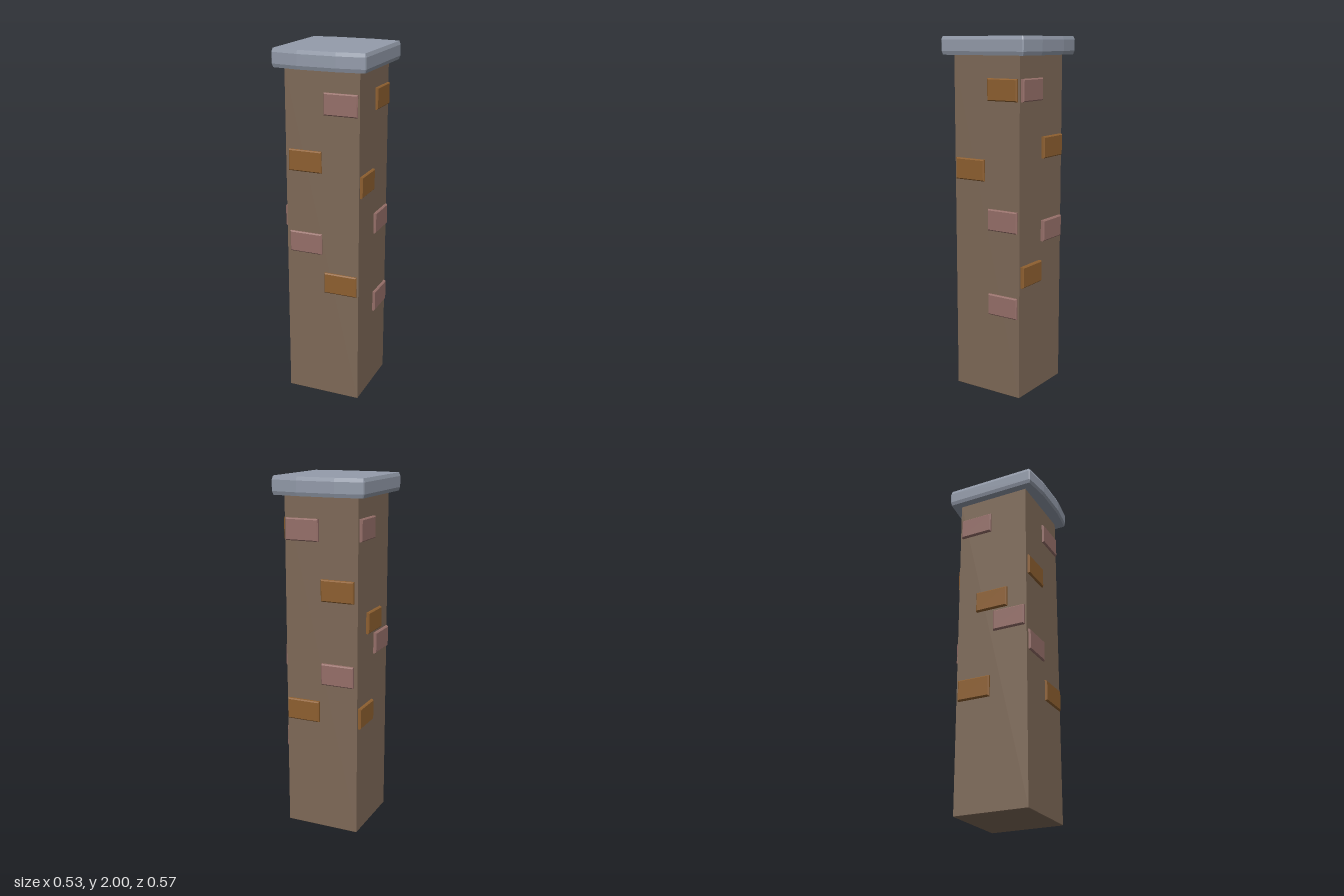
import * as THREE from 'three';

const material = (color) => new THREE.MeshStandardMaterial({ color, flatShading: true });

// Extrude an outline from z = 0 to z = depth with a chamfer kept inside the outline
function chamferedSlab(points, depth, inset, rise) {
  const shape = new THREE.Shape(points.map(([x, y]) => new THREE.Vector2(x, y)));
  const geometry = new THREE.ExtrudeGeometry(shape, {
    depth: depth - 2 * rise, bevelEnabled: true, bevelSegments: 1,
    bevelSize: inset, bevelOffset: -inset, bevelThickness: rise,
  });
  return geometry.translate(0, 0, rise);
}

const rectangle = (w, h) => [[-w / 2, -h / 2], [w / 2, -h / 2], [w / 2, h / 2], [-w / 2, h / 2]];

export function createModel() {
  const model = new THREE.Group();
  model.name = 'brickPillar';

  const stone = material(0x7f6a58);
  const slate = material(0x949cab);
  const orange = material(0x8f6030);
  const pink = material(0x97706a);

  // Square shaft
  const shaftGeometry = chamferedSlab(rectangle(0.428, 0.428), 1.91, 0.003, 0.003);
  const shaft = new THREE.Mesh(shaftGeometry.rotateX(-Math.PI / 2), stone);
  shaft.name = 'shaft';
  model.add(shaft);

  // Cap slab: front and back bow outwards, corners slightly clipped
  const quarter = [[0.265, 0.259], [0.259, 0.267], [0.108, 0.286]];
  const mirrored = quarter.map(([x, z]) => [-x, z]).reverse();
  const half = [...quarter, ...mirrored];
  const outline = [...half, ...half.map(([x, z]) => [-x, -z])];
  const capGeometry = chamferedSlab(outline, 0.1, 0.007, 0.02);
  const cap = new THREE.Mesh(capGeometry.rotateX(-Math.PI / 2), slate);
  cap.name = 'cap';
  cap.position.y = 1.9;
  model.add(cap);

  // Raised bricks on each face: [offset across the face, height, material]
  const faces = [
    { name: 'frontBricks', turn: 0, reach: 0.226,
      bricks: [[0.108, 1.72, pink], [-0.099, 1.4, orange], [-0.099, 0.93, pink], [0.108, 0.705, orange]] },
    { name: 'leftBricks', turn: Math.PI / 2, reach: 0.228,
      bricks: [[0.107, 1.72, orange], [-0.108, 1.28, orange], [0.107, 1.01, pink], [0.107, 0.525, pink]] },
    { name: 'backBricks', turn: Math.PI, reach: 0.234,
      bricks: [[-0.108, 1.72, pink], [0.099, 1.4, orange], [0.099, 0.93, pink], [-0.108, 0.705, orange]] },
    { name: 'rightBricks', turn: -Math.PI / 2, reach: 0.23,
      bricks: [[-0.105, 1.728, pink], [0, 1.21, orange], [0.108, 1.072, pink], [-0.105, 0.688, orange]] },
  ];
  const brickDepth = 0.04;
  const brickGeometry = chamferedSlab(rectangle(0.192, 0.12), brickDepth, 0.006, 0.006);

  for (const { name, turn, reach, bricks } of faces) {
    const face = new THREE.Group();
    face.name = name;
    face.rotation.y = turn;
    for (const [across, height, mat] of bricks) {
      const brick = new THREE.Mesh(brickGeometry, mat);
      brick.name = 'brick';
      brick.position.set(across, height, reach - brickDepth);
      face.add(brick);
    }
    model.add(face);
  }

  return model;
}
